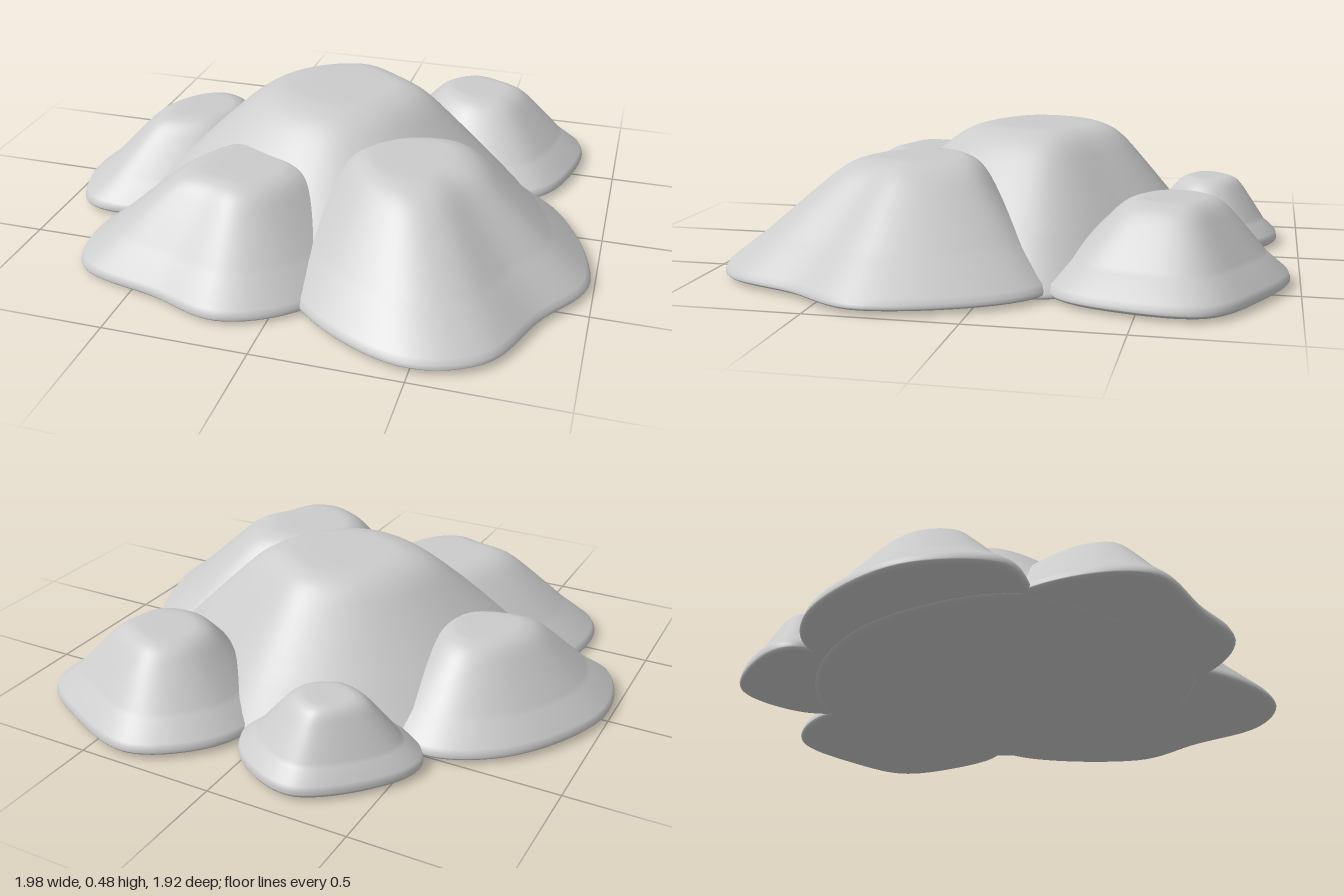
import * as THREE from 'three';

// Side profile of a mound: [share of base outline, share of height]
const SLOPE = [[0.8, 0.36], [0.56, 0.72], [0.42, 0.91], [0.31, 0.985], [0.2, 1], [0, 1]];
const SEGMENTS = 96;

// Each mound: plateau centre, height, bottom level and corners of the rounded base as (x, z)
const MOUNDS = [
  { name: 'centralMound', centre: [0.01, -0.1], height: 0.475, bottom: 0,
    corners: [[0.05, -0.7], [-0.38, -0.55], [-0.68, -0.2], [-0.72, 0.3], [-0.3, 0.64], [0.12, 0.71],
      [0.5, 0.48], [0.73, -0.18], [0.4, -0.52]] },
  { name: 'frontLeftMound', centre: [0.32, 0.28], height: 0.395, bottom: 0.01,
    corners: [[0.09, 0.75], [0.48, 0.955], [0.72, 0.87], [0.85, 0.6], [0.985, 0.33], [0.74, -0.19],
      [0.2, -0.12], [-0.13, 0.3]] },
  { name: 'frontRightMound', centre: [-0.2, 0.42], height: 0.34, bottom: 0.005,
    corners: [[-0.76, 0.4], [-0.72, 0.7], [-0.4, 0.81], [-0.15, 0.88], [0.1, 0.74], [0.27, 0.3],
      [-0.05, -0.08], [-0.42, -0.14]] },
  { name: 'rightMound', centre: [-0.55, -0.08], height: 0.31, bottom: 0.01,
    corners: [[-0.55, -0.52], [-0.8, -0.38], [-0.99, 0], [-0.91, 0.29], [-0.74, 0.33], [-0.35, 0.2],
      [-0.2, -0.15], [-0.35, -0.45]] },
  { name: 'backRightMound', centre: [-0.26, -0.67], height: 0.25, bottom: 0.01,
    corners: [[0.06, -0.7], [-0.02, -0.83], [-0.26, -0.92], [-0.53, -0.68], [-0.55, -0.56], [-0.43, -0.44],
      [-0.2, -0.38], [0.03, -0.53]] },
  { name: 'backLeftMound', centre: [0.43, -0.59], height: 0.3, bottom: 0.01,
    corners: [[0.06, -0.7], [0.08, -0.42], [0.4, -0.18], [0.73, -0.23], [0.84, -0.45], [0.845, -0.72],
      [0.62, -0.88], [0.35, -0.965], [0.16, -0.86]] },
];

// Loft the base outline towards the plateau centre along the profile
function moundGeometry({ centre, height, bottom, corners }) {
  const curve = new THREE.CatmullRomCurve3(corners.map(([x, z]) => new THREE.Vector3(x, 0, z)), true);
  const base = curve.getSpacedPoints(SEGMENTS).slice(0, SEGMENTS);
  const rim = bottom + 0.013;

  // Flat underside, rounded rim, then the slope and plateau
  const profile = [[0, bottom], [0.5, bottom], [0.955, bottom], [0.965, bottom], [0.985, bottom + 0.004],
    [0.997, rim - 0.004], [1, rim], [0.994, rim + 0.01], [0.975, rim + 0.027]];
  const slope = new THREE.SplineCurve(SLOPE.map(([s, y]) => new THREE.Vector2(s, y * height)));
  slope.getPoints(24).forEach((p) => profile.push([p.x, p.y]));

  const positions = [];
  const indices = [];
  const [cx, cz] = centre;
  const last = profile.length - 1;
  profile.forEach(([s, y], j) => {
    base.forEach((p, i) => {
      positions.push(cx + (p.x - cx) * s, y, cz + (p.z - cz) * s);
      if (j === last) return;
      const a = j * SEGMENTS + i;
      const b = j * SEGMENTS + ((i + 1) % SEGMENTS);
      const c = b + SEGMENTS;
      const d = a + SEGMENTS;
      // The first and last rings collapse to a point, so they need one triangle each
      if (j > 0) indices.push(a, b, d);
      if (j < last - 1) indices.push(b, c, d);
    });
  });

  const geometry = new THREE.BufferGeometry();
  geometry.setAttribute('position', new THREE.Float32BufferAttribute(positions, 3));
  geometry.setIndex(indices);
  geometry.computeVertexNormals();
  return geometry;
}

export function createModel() {
  const group = new THREE.Group();
  group.name = 'moundCluster';
  const material = new THREE.MeshStandardMaterial({ color: 0xcccccc });
  for (const mound of MOUNDS) {
    const mesh = new THREE.Mesh(moundGeometry(mound), material);
    mesh.name = mound.name;
    group.add(mesh);
  }
  return group;
}
